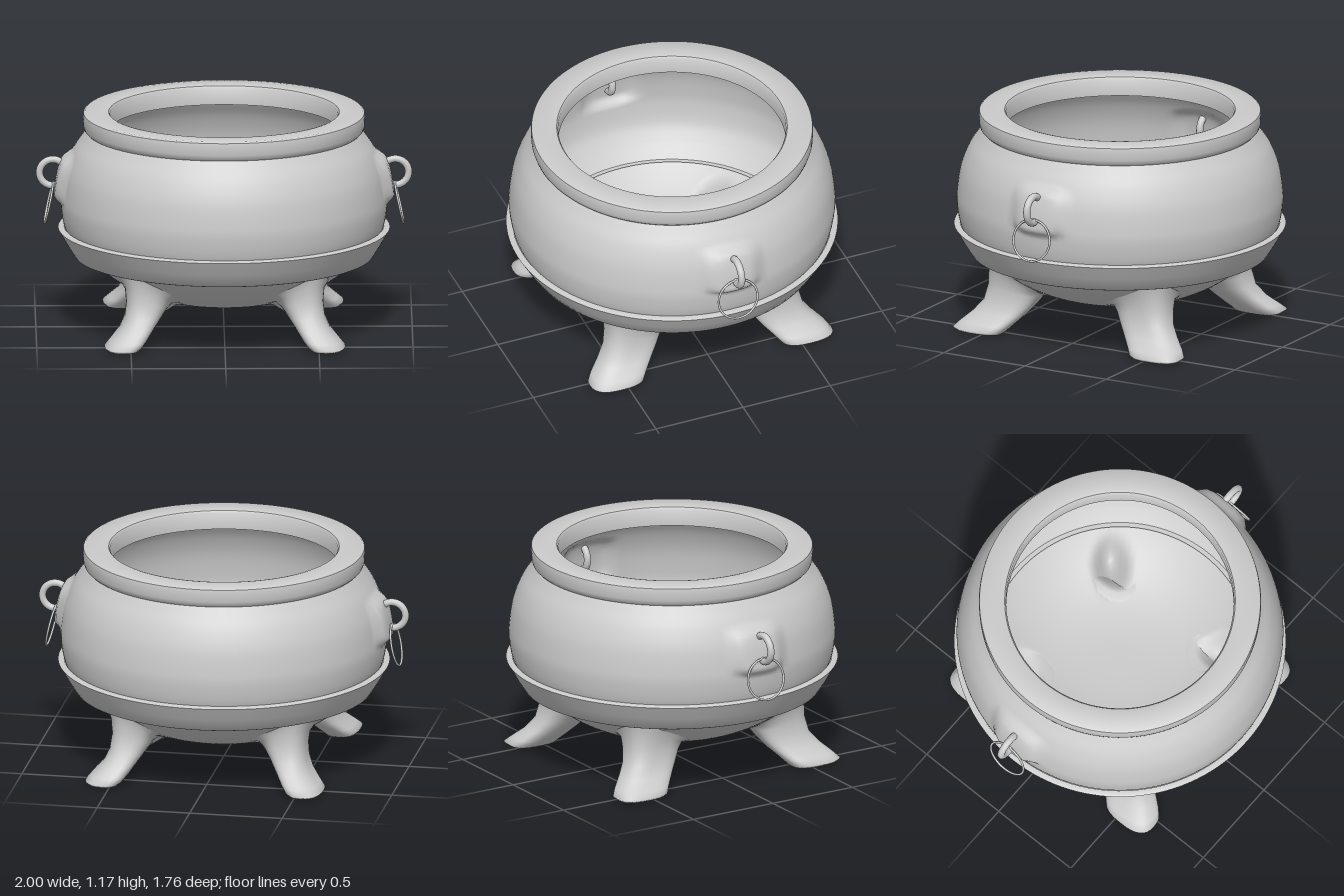
import * as THREE from 'three';
import { mergeVertices, toCreasedNormals } from 'three/addons/utils/BufferGeometryUtils.js';

const material = new THREE.MeshStandardMaterial({ color: 0xcccccc, side: THREE.DoubleSide });
const SEGMENTS = 128;
const corners = [[1, 1], [1, -1], [-1, -1], [-1, 1]];

// Height of the rounded underside at a given radius
const bowlY = r => 0.15 + 0.614 * Math.pow(r, 2.86);

function addMesh(parent, name, geometry) {
  const mesh = new THREE.Mesh(geometry, material);
  mesh.name = name;
  parent.add(mesh);
  return mesh;
}

const vectors = points => points.map(p => new THREE.Vector2(p[0], p[1]));

// Thin-walled pot, with hollows into the legs and raised pads behind the handles
function potGeometry() {
  const profile = [];
  for (let i = 0; i < 32; i++) {
    const r = 0.79 * i / 31;
    profile.push(new THREE.Vector2(r, bowlY(r)));
  }
  const wall = new THREE.SplineCurve(vectors([
    [0.79, bowlY(0.79)], [0.845, 0.545], [0.867, 0.66], [0.864, 0.75],
    [0.845, 0.86], [0.805, 0.96], [0.755, 1.035], [0.72, 1.085],
  ]));
  profile.push(...wall.getPoints(44).slice(1));

  let geometry = new THREE.LatheGeometry(profile, SEGMENTS);
  const pos = geometry.attributes.position;
  for (let i = 0; i < pos.count; i++) {
    let x = pos.getX(i), y = pos.getY(i), z = pos.getZ(i);
    if (y < 0.5) {
      // hollow above each leg, longer along the radius
      const ax = Math.abs(x), az = Math.abs(z);
      const along = ((ax + az) / Math.SQRT2 - 0.53) / 0.16;
      const across = (ax - az) / Math.SQRT2 / 0.11;
      const d = along * along + across * across;
      if (d < 1) {
        const w = (1 - d) ** 2;
        y -= 0.11 * w;
        x += Math.sign(x) * 0.05 * w;
        z += Math.sign(z) * 0.05 * w;
      }
    } else {
      // rounded square pad
      const q = Math.pow((z / 0.17) ** 4 + ((y - 0.82) / 0.145) ** 4, 0.25);
      x += Math.sign(x) * 0.04 * (1 - THREE.MathUtils.smoothstep(q, 0.65, 1));
    }
    pos.setXYZ(i, x, y, z);
  }
  geometry.deleteAttribute('uv');
  geometry.deleteAttribute('normal');
  geometry = mergeVertices(geometry, 1e-5);
  geometry.computeVertexNormals();
  return geometry;
}

const ringGeometry = points =>
  toCreasedNormals(new THREE.LatheGeometry(vectors(points), SEGMENTS), 0.7);

// Splayed leg: rounded cross-sections from the sole up to a flare on the bowl
function legGeometry(sx, sz) {
  // y, centre x, centre z, half width x, half width z, how far it follows the bowl
  const sections = [
    [0.005, 0.54, 0.54, 0.085, 0.135, 0],
    [0.02, 0.54, 0.542, 0.1, 0.15, 0],
    [0.05, 0.512, 0.515, 0.098, 0.15, 0],
    [0.1, 0.47, 0.465, 0.092, 0.148, 0],
    [0.15, 0.435, 0.42, 0.098, 0.145, 0.05],
    [0.19, 0.412, 0.397, 0.112, 0.15, 0.3],
    [0.22, 0.4, 0.385, 0.13, 0.16, 0.7],
    [0.24, 0.385, 0.37, 0.165, 0.19, 1],
  ];
  const n = 32, positions = [], index = [];
  const soft = v => Math.sign(v) * Math.pow(Math.abs(v), 0.75);
  for (const [y, cx, cz, hx, hz, follow] of sections) {
    for (let j = 0; j < n; j++) {
      const a = j / n * Math.PI * 2;
      const x = cx + hx * soft(Math.cos(a)), z = cz + hz * soft(Math.sin(a));
      const surface = bowlY(Math.hypot(x, z)) - 0.002;
      positions.push(sx * x, THREE.MathUtils.lerp(y, surface, follow), sz * z);
    }
  }
  const flip = sx * sz < 0;
  const face = (a, b, c) => flip ? index.push(a, c, b) : index.push(a, b, c);
  for (let i = 0; i < sections.length - 1; i++) {
    for (let j = 0; j < n; j++) {
      const k = (j + 1) % n;
      const a = i * n + j, b = i * n + k, c = a + n, d = b + n;
      face(a, c, b);
      face(b, c, d);
    }
  }
  // sole
  const centre = positions.length / 3;
  positions.push(sx * 0.54, 0, sz * 0.54);
  for (let j = 0; j < n; j++) face(centre, j, (j + 1) % n);

  const geometry = new THREE.BufferGeometry();
  geometry.setAttribute('position', new THREE.Float32BufferAttribute(positions, 3));
  geometry.setIndex(index);
  geometry.computeVertexNormals();
  return geometry;
}

export function createModel() {
  const model = new THREE.Group();
  model.name = 'cauldron';

  addMesh(model, 'pot', potGeometry());

  // Heavy flat-topped rim with softened edges
  addMesh(model, 'rim', ringGeometry([
    [0.605, 1.07], [0.71, 1.065], [0.73, 1.068], [0.742, 1.08], [0.748, 1.1], [0.75, 1.15],
    [0.747, 1.168], [0.738, 1.175], [0.63, 1.175], [0.613, 1.171], [0.605, 1.16], [0.605, 1.07],
  ]));

  // Tapered band around the belly
  addMesh(model, 'band', ringGeometry([
    [0.7, 0.395], [0.785, 0.395], [0.797, 0.4], [0.84, 0.47], [0.868, 0.52],
    [0.882, 0.545], [0.872, 0.551], [0.85, 0.553],
  ]));

  corners.forEach(([sx, sz]) => {
    const name = (sz > 0 ? 'front' : 'back') + (sx > 0 ? 'Left' : 'Right') + 'Leg';
    addMesh(model, name, legGeometry(sx, sz));
  });

  // Fixed eye with a thin loose ring on each side
  for (const side of [1, -1]) {
    const handle = new THREE.Group();
    handle.name = side > 0 ? 'leftHandle' : 'rightHandle';
    const eye = addMesh(handle, 'eye', new THREE.TorusGeometry(0.071, 0.019, 16, 40));
    eye.position.set(side * 0.91, 0.842, 0);
    const ring = addMesh(handle, 'looseRing', new THREE.TorusGeometry(0.111, 0.006, 10, 56));
    ring.rotation.set(0, Math.PI / 2, side * 0.21, 'ZYX');
    ring.position.set(side * 0.931, 0.677, 0);
    model.add(handle);
  }
  return model;
}
